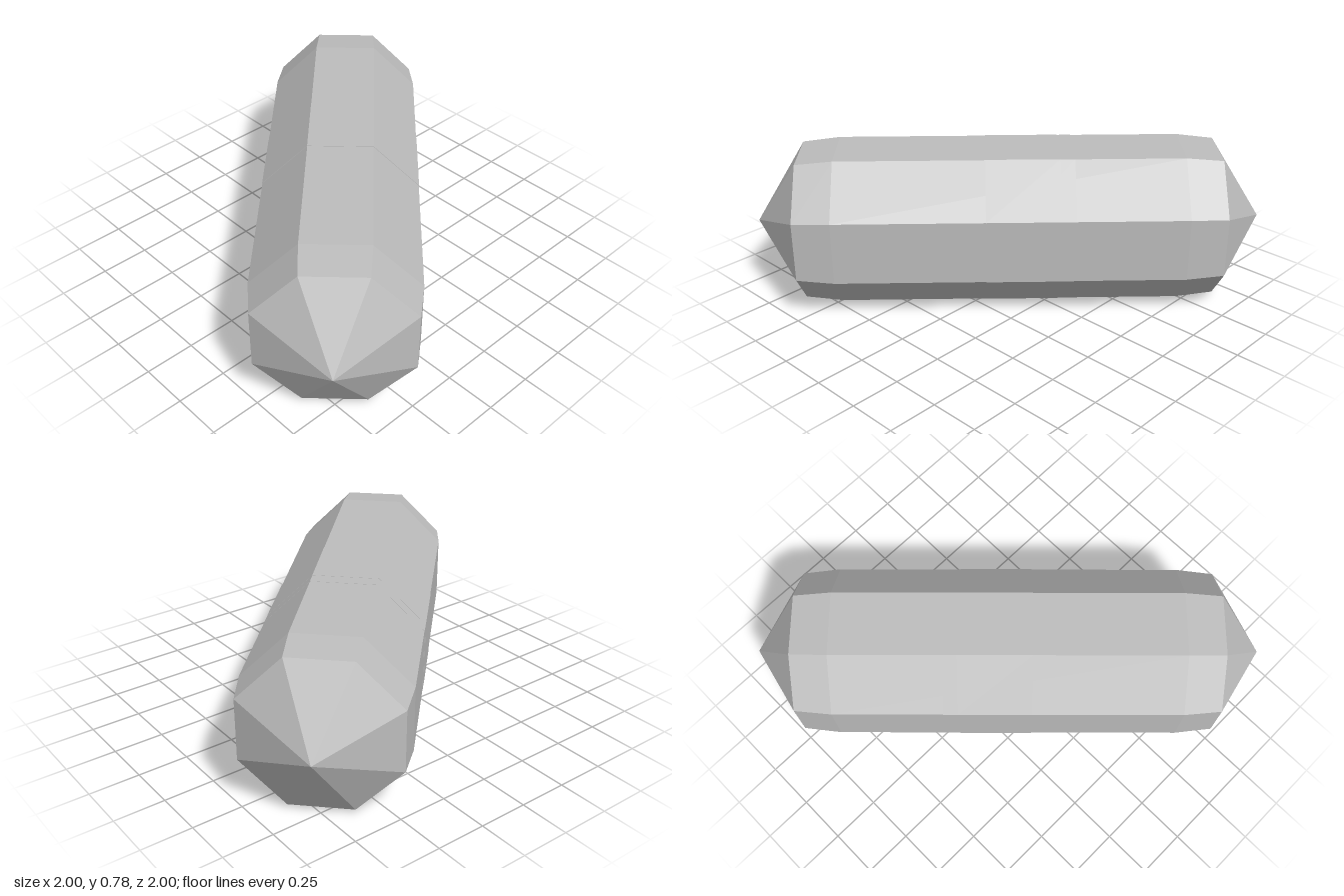
import * as THREE from 'three';

export function createModel() {
  const model = new THREE.Group();
  model.name = 'octagonalCapsule';
  const grey = new THREE.MeshStandardMaterial({ color: 0xbcbcbc });
  grey.name = 'grey';
  grey.flatShading = true;

  // Eight-sided turned part; profile is [radius, position along the axis]
  function addPart(name, profile) {
    const points = profile.map(([r, s]) => new THREE.Vector2(r, s));
    const geometry = new THREE.LatheGeometry(points, 8, Math.PI / 8);
    // Lay the axis flat, running diagonally towards +x and -z
    geometry.rotateX(-Math.PI / 2);
    geometry.rotateY(-Math.PI / 4);
    geometry.translate(0, 0.3925, 0);
    const mesh = new THREE.Mesh(geometry, grey);
    mesh.name = name;
    model.add(mesh);
  }

  const R = 0.4195;

  // Long body with slightly tapered shoulders
  addPart('body', [[0.398, -1.046], [R, -0.86], [R, 0.86], [0.398, 1.046]]);

  // Pointed ends
  addPart('frontPoint', [[0, -1.28], [0.398, -1.046]]);
  addPart('backPoint', [[0.398, 1.046], [0, 1.28]]);

  // Two very thin overlapping sleeves around the middle
  const sleeves = [['wideSleeve', -0.12, 0.245, 0.002], ['narrowSleeve', 0.024, 0.316, 0.001]];
  for (const [name, a, b, lift] of sleeves) {
    addPart(name, [[R, a], [R + lift, a], [R + lift, b], [R, b]]);
  }

  return model;
}
